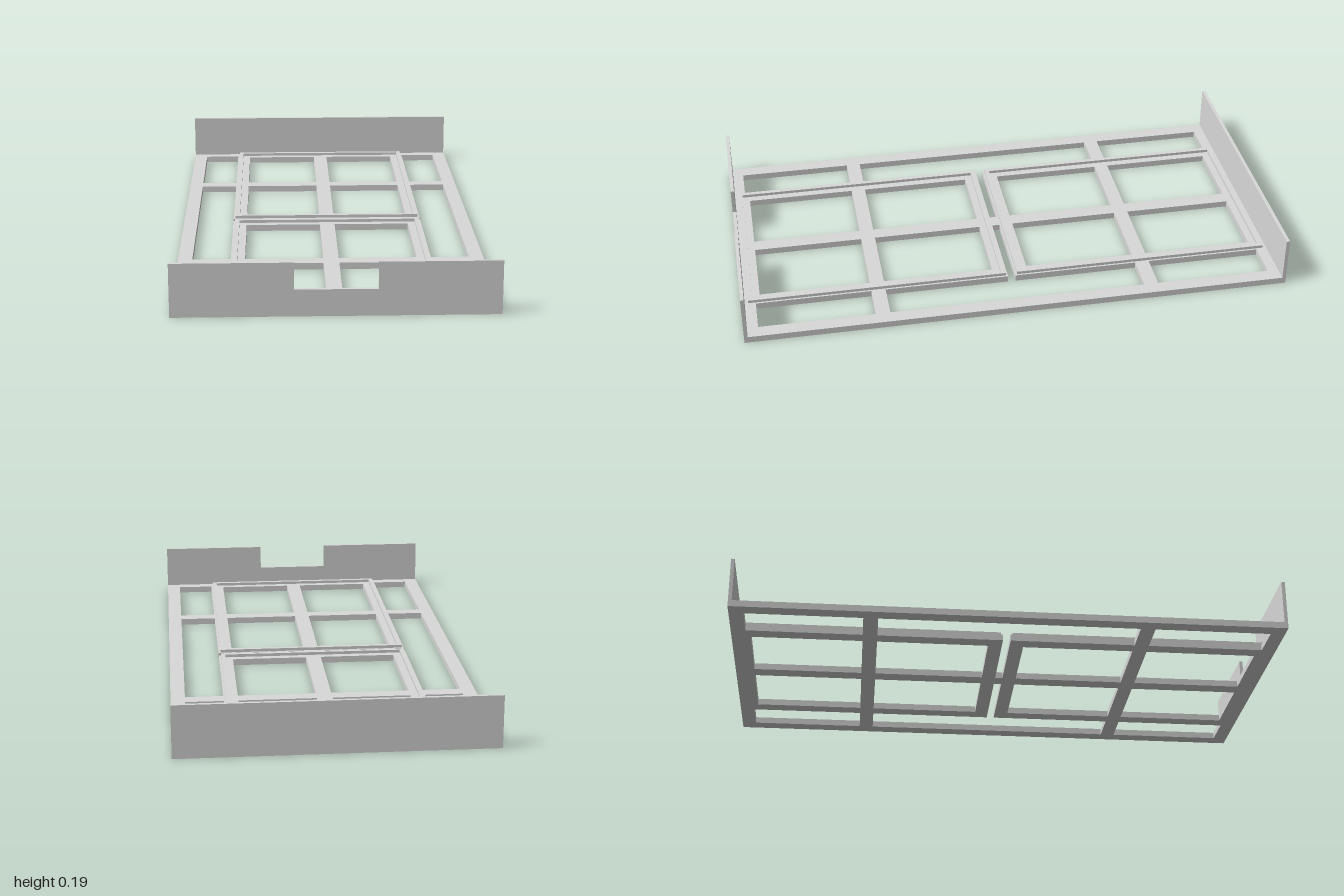
import * as THREE from 'three';

const DECK_H = 0.024, RIDGE_TOP = 0.035;
const W = 0.552;          // half width of the bed
const BOARD_T = 0.013;    // thickness of the end boards

// Closed path from [x, z] corners, laid out so that it can be turned flat
function trace(path, pts) {
  pts.forEach(([x, z], i) => (i ? path.lineTo(x, -z) : path.moveTo(x, -z)));
  path.closePath();
  return path;
}
const rect = (x0, z0, x1, z1) => [[x0, z0], [x0, z1], [x1, z1], [x1, z0]];

// Flat plate between two heights with cut-outs
function plate(name, outline, holes, y, h, material) {
  const shape = trace(new THREE.Shape(), outline);
  holes.forEach((p) => shape.holes.push(trace(new THREE.Path(), p)));
  const geo = new THREE.ExtrudeGeometry(shape, { depth: h, bevelEnabled: false });
  geo.rotateX(-Math.PI / 2).translate(0, y, 0);
  const mesh = new THREE.Mesh(geo, material);
  mesh.name = name;
  return mesh;
}

export function createModel() {
  const group = new THREE.Group();
  group.name = 'bedFrame';
  const grey = new THREE.MeshStandardMaterial({ color: 0xd9d9d9 });
  grey.name = 'light grey';

  // Deck openings, mirrored left and right
  const holes = [];
  for (const s of [-1, 1]) {
    // Side opening that reaches in between the two inner frames
    holes.push([
      [0.5, -0.472], [0.5, 0.472], [0.362, 0.472], [0.362, 0.014], [0.028, 0.014],
      [0.028, -0.014], [0.362, -0.014], [0.362, -0.472],
    ].map(([x, z]) => [s * x, z]));
    for (const e of [-1, 1]) {
      const cut = (x0, z0, x1, z1) => holes.push(rect(s * x0, e * z0, s * x1, e * z1));
      cut(0.362, 0.525, 0.5, 0.947);    // outer corner opening
      cut(0.028, 0.525, 0.31, 0.93);    // inner frame, end pane
      cut(0.028, 0.065, 0.31, 0.472);   // inner frame, middle pane
    }
  }
  group.add(plate('deckFrame', rect(-W, -0.99, W, 0.99), holes, 0, DECK_H, grey));

  // Thin raised ridge around each inner frame
  for (const e of [-1, 1]) {
    const [near, far] = e > 0 ? [0.021, 0.974] : [-0.974, -0.021];
    group.add(plate(e > 0 ? 'frontRidge' : 'backRidge',
      rect(-0.355, near, 0.355, far),
      [rect(-0.338, near + 0.017, 0.338, far - 0.017)],
      DECK_H, RIDGE_TOP - DECK_H, grey));
  }

  // Back board
  const back = new THREE.Mesh(new THREE.BoxGeometry(2 * W, 0.188, BOARD_T), grey);
  back.name = 'backBoard';
  back.position.set(0, 0.094, -1 + BOARD_T / 2);
  group.add(back);

  // Front board with a notch in its top edge
  const front = new THREE.Shape([
    [-W, 0], [W, 0], [W, 0.188], [0.14, 0.188], [0.14, 0.094],
    [-0.14, 0.094], [-0.14, 0.188], [-W, 0.188],
  ].map(([x, y]) => new THREE.Vector2(x, y)));
  const board = new THREE.Mesh(
    new THREE.ExtrudeGeometry(front, { depth: BOARD_T, bevelEnabled: false }), grey);
  board.name = 'frontBoard';
  board.position.z = 1 - BOARD_T;
  group.add(board);

  return group;
}
